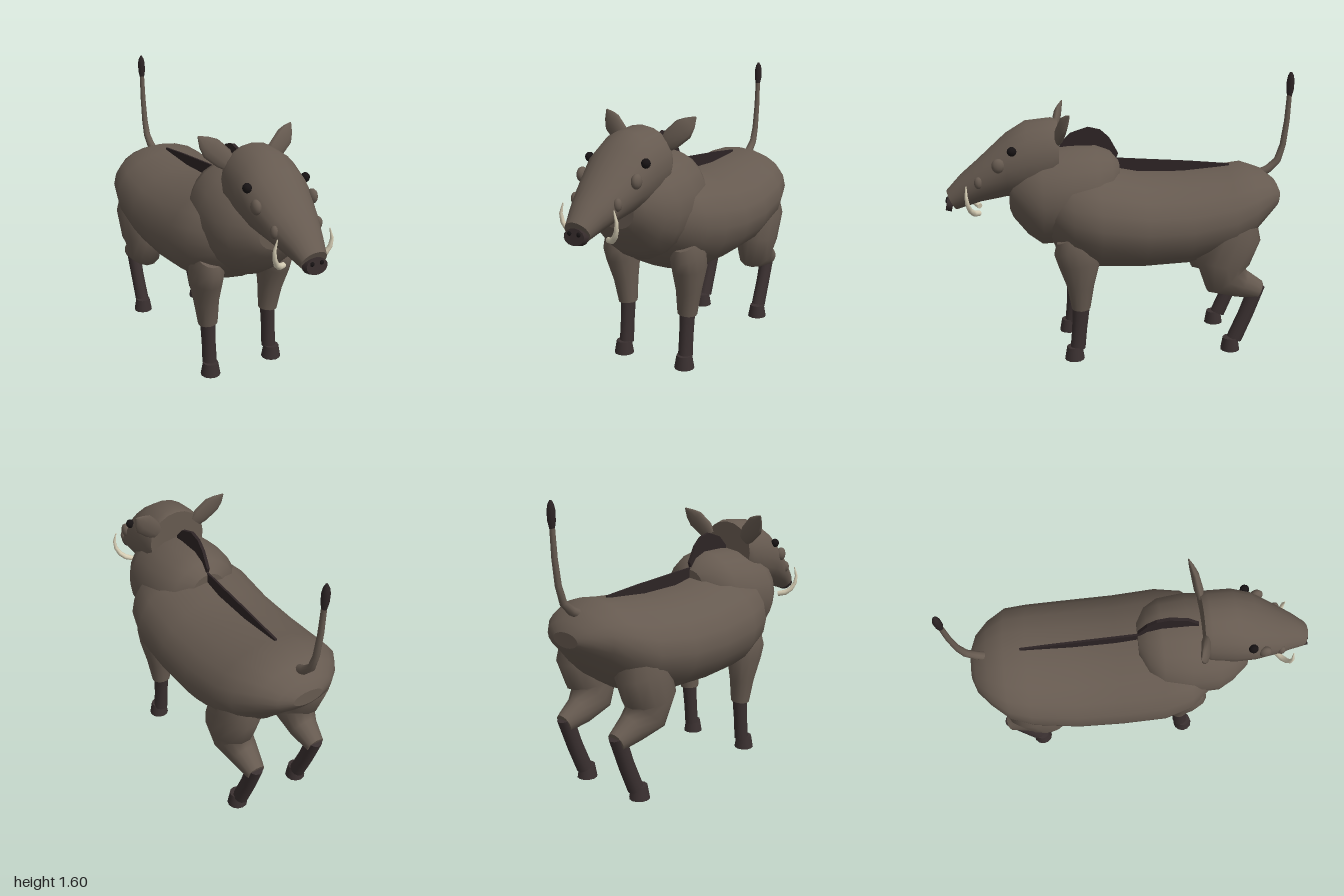
import * as THREE from 'three';

const V = (x, y, z) => new THREE.Vector3(x, y, z);

// Skin elliptical rings {c, u, v} (u x v points along the loft), with capped ends
function loft(rings, sides) {
  const pos = [], idx = [];
  const addRing = (r) => {
    const start = pos.length / 3;
    for (let i = 0; i < sides; i++) {
      const a = (i / sides) * Math.PI * 2;
      const p = r.c.clone().addScaledVector(r.u, Math.cos(a)).addScaledVector(r.v, Math.sin(a));
      pos.push(p.x, p.y, p.z);
    }
    return start;
  };
  const starts = rings.map(addRing);
  for (let k = 0; k + 1 < starts.length; k++) {
    for (let i = 0; i < sides; i++) {
      const j = (i + 1) % sides, a = starts[k], b = starts[k + 1];
      idx.push(a + i, a + j, b + j, a + i, b + j, b + i);
    }
  }
  [rings[0], rings[rings.length - 1]].forEach((r, end) => {
    const s = addRing(r), mid = pos.length / 3;
    pos.push(r.c.x, r.c.y, r.c.z);
    for (let i = 0; i < sides; i++) {
      const j = (i + 1) % sides;
      if (end) idx.push(mid, s + i, s + j);
      else idx.push(mid, s + j, s + i);
    }
  });
  const g = new THREE.BufferGeometry();
  g.setAttribute('position', new THREE.Float32BufferAttribute(pos, 3));
  g.setIndex(idx);
  g.computeVertexNormals();
  return g;
}

// Trunk-like loft along z: rows of [z, top, bottom, halfWidth, lean]
const trunk = (rows, sides) => loft(rows.map(([z, top, bottom, w, lean = 0]) => ({
  c: V(0, (top + bottom) / 2, z), u: V(w, 0, 0), v: V(0, (top - bottom) / 2, lean),
})), sides);

// Swept limb: rows of [x, y, z, radiusAcross, radiusOther]; ref fixes the "across" direction
function limb(rows, sides, ref = V(1, 0, 0)) {
  const pts = rows.map((r) => V(r[0], r[1], r[2]));
  return loft(rows.map((r, i) => {
    const t = pts[Math.min(i + 1, pts.length - 1)].clone().sub(pts[Math.max(i - 1, 0)]).normalize();
    const u = ref.clone().addScaledVector(t, -ref.dot(t)).normalize();
    const v = t.clone().cross(u);
    return { c: pts[i], u: u.multiplyScalar(r[3]), v: v.multiplyScalar(r[4] ?? r[3]) };
  }), sides);
}

export function createModel() {
  const model = new THREE.Group();
  const material = (name, color) => {
    const m = new THREE.MeshStandardMaterial({ color });
    m.name = name;
    return m;
  };
  const hide = material('hide brown', 0x665a50);
  const shank = material('dark leg', 0x3a3030);
  const bristle = material('bristle black', 0x2d2425);
  const snoutDark = material('snout dark', 0x352b2b);
  const black = material('eye black', 0x171314);
  const ivory = material('ivory', 0xd8cfb6);

  const add = (name, geometry, mat, parent = model) => {
    const mesh = new THREE.Mesh(geometry, mat);
    mesh.name = name;
    parent.add(mesh);
    return mesh;
  };
  const blob = (name, mat, x, y, z, rx, ry, rz, parent) => {
    const m = add(name, new THREE.SphereGeometry(1, 12, 8), mat, parent);
    m.position.set(x, y, z);
    m.scale.set(rx, ry, rz);
    return m;
  };

  // Barrel body, rump to chest
  add('body', trunk([
    [-0.92, 0.94, 0.86, 0.09], [-0.89, 0.99, 0.82, 0.17], [-0.82, 1.045, 0.755, 0.25],
    [-0.72, 1.08, 0.65, 0.33], [-0.6, 1.065, 0.57, 0.36], [-0.35, 1.045, 0.51, 0.382],
    [-0.1, 1.05, 0.5, 0.387], [0.15, 1.1, 0.51, 0.387], [0.3, 1.1, 0.57, 0.35],
    [0.42, 1.04, 0.67, 0.25], [0.48, 0.95, 0.76, 0.12],
  ], 20), hide);

  // Heavy neck and shoulder hump
  add('neck', trunk([
    [0.02, 1.12, 0.95, 0.1], [0.07, 1.18, 0.8, 0.2], [0.15, 1.21, 0.7, 0.26],
    [0.3, 1.21, 0.66, 0.285], [0.46, 1.19, 0.65, 0.275], [0.54, 1.16, 0.71, 0.235],
    [0.62, 1.1, 0.81, 0.17], [0.64, 1.04, 0.86, 0.11],
  ], 20), hide);

  // Long wedge head
  const head = new THREE.Group();
  head.name = 'head';
  model.add(head);
  add('skull', trunk([
    [0.365, 1.36, 1.02, 0.175], [0.4, 1.372, 0.97, 0.19], [0.54, 1.358, 0.935, 0.198],
    [0.65, 1.29, 0.935, 0.188], [0.8, 1.145, 0.91, 0.14, 0.01], [0.89, 1.06, 0.885, 0.103, 0.02],
    [0.96, 0.975, 0.865, 0.075, 0.027],
  ], 20), hide, head);

  // Nose disc with nostrils
  const nose = add('noseDisc', new THREE.CylinderGeometry(0.062, 0.066, 0.034, 14), snoutDark, head);
  nose.rotation.x = Math.PI / 2 - 0.2;
  nose.scale.z = 0.68;
  nose.position.set(0, 0.9, 0.972);

  for (const s of [1, -1]) {
    const side = s > 0 ? 'left' : 'right';

    // Face details
    blob(side + 'Nostril', black, s * 0.028, 0.918, 0.987, 0.012, 0.012, 0.008, head);
    blob(side + 'Eye', black, s * 0.174, 1.218, 0.62, 0.024, 0.026, 0.026, head);
    blob(side + 'CheekWart', hide, s * 0.168, 1.14, 0.695, 0.026, 0.04, 0.036, head);
    blob(side + 'MuzzleWart', hide, s * 0.13, 1.04, 0.805, 0.022, 0.034, 0.024, head);

    // Upturned tusk
    add(side + 'Tusk', limb([
      [s * 0.075, 0.855, 0.81, 0.016], [s * 0.115, 0.865, 0.835, 0.017], [s * 0.145, 0.89, 0.855, 0.015],
      [s * 0.165, 0.93, 0.868, 0.012], [s * 0.17, 0.975, 0.873, 0.009], [s * 0.155, 1.03, 0.872, 0.003],
    ], 8, V(0, 0, 1)), ivory, head);

    // Leaf-shaped ear
    add(side + 'Ear', limb([
      [s * 0.13, 1.265, 0.37, 0.04, 0.018], [s * 0.16, 1.3, 0.362, 0.057, 0.026],
      [s * 0.225, 1.358, 0.345, 0.06, 0.022], [s * 0.255, 1.39, 0.33, 0.038, 0.014],
      [s * 0.283, 1.422, 0.315, 0.004, 0.003],
    ], 10, V(s, -1, 0).normalize()), hide, head);

    // Front leg
    const front = new THREE.Group();
    front.name = side + 'FrontLeg';
    model.add(front);
    add('upperLeg', limb([
      [s * 0.22, 0.74, 0.32, 0.07, 0.08], [s * 0.222, 0.68, 0.29, 0.092, 0.125],
      [s * 0.22, 0.59, 0.268, 0.09, 0.12], [s * 0.21, 0.45, 0.262, 0.07, 0.078],
      [s * 0.2, 0.31, 0.26, 0.056, 0.054],
    ], 14), hide, front);
    add('lowerLeg', limb([
      [s * 0.2, 0.33, 0.258, 0.042, 0.05], [s * 0.2, 0.18, 0.27, 0.039, 0.043],
      [s * 0.2, 0.065, 0.28, 0.041, 0.043],
    ], 12), shank, front);

    // Hind leg
    const hind = new THREE.Group();
    hind.name = side + 'HindLeg';
    model.add(hind);
    add('thigh', limb([
      [s * 0.22, 0.86, -0.62, 0.09, 0.11], [s * 0.225, 0.72, -0.61, 0.125, 0.16],
      [s * 0.22, 0.56, -0.55, 0.125, 0.16], [s * 0.21, 0.46, -0.57, 0.105, 0.13],
      [s * 0.2, 0.41, -0.67, 0.08, 0.085], [s * 0.2, 0.365, -0.78, 0.052, 0.055],
    ], 14), hide, hind);
    add('lowerLeg', limb([
      [s * 0.2, 0.395, -0.772, 0.043, 0.046], [s * 0.2, 0.22, -0.71, 0.04, 0.045],
      [s * 0.2, 0.065, -0.645, 0.041, 0.046],
    ], 12), shank, hind);

    // Hooves
    for (const [leg, z] of [[front, 0.3], [hind, -0.62]]) {
      const hoof = add('hoof', new THREE.CylinderGeometry(0.044, 0.057, 0.075, 12), shank, leg);
      hoof.position.set(s * 0.205, 0.0375, z);
    }
  }

  // Bristle crest: thin plates drawn in side profile (z, y)
  const crest = (name, points, width) => {
    const shape = new THREE.Shape(points.map(([z, y]) => new THREE.Vector2(-z, y)));
    const g = new THREE.ExtrudeGeometry(shape, { depth: width, bevelEnabled: false });
    g.translate(0, 0, -width / 2);
    g.rotateY(Math.PI / 2);
    add(name, g, bristle);
  };
  crest('neckMane', [[0.35, 1.15], [0.35, 1.22], [0.29, 1.28], [0.19, 1.312], [0.12, 1.295],
    [0.07, 1.25], [0.02, 1.16], [0.05, 1.08]], 0.018);
  crest('backMane', [[0.1, 1.05], [0.08, 1.135], [-0.15, 1.118], [-0.4, 1.1], [-0.63, 1.078], [-0.63, 1.03], [-0.3, 1.02]], 0.012);

  // Raised tail with tuft
  add('tail', limb([
    [0, 1.005, -0.8, 0.027], [0, 1.04, -0.87, 0.024], [0, 1.09, -0.922, 0.021],
    [0, 1.18, -0.95, 0.018], [0, 1.32, -0.967, 0.016], [0, 1.49, -0.975, 0.014],
  ], 10), hide);
  add('tailTuft', limb([
    [0, 1.46, -0.974, 0.013], [0, 1.5, -0.976, 0.021], [0, 1.55, -0.977, 0.022],
    [0, 1.58, -0.977, 0.016], [0, 1.6, -0.977, 0.005],
  ], 10), bristle);

  return model;
}
